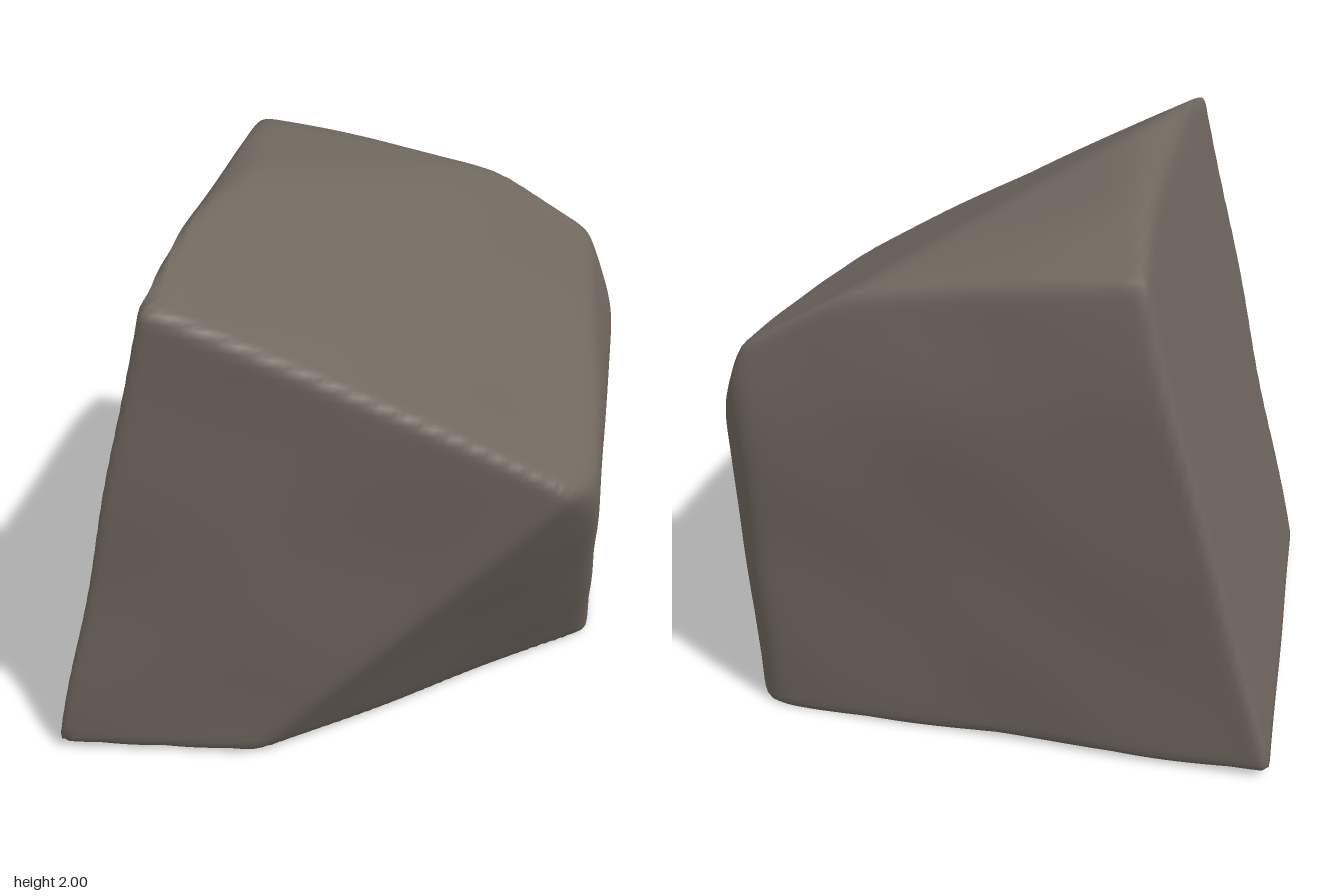
import * as THREE from 'three';
import { mergeVertices } from 'three/addons/utils/BufferGeometryUtils.js';

const V = (a) => new THREE.Vector3(...a);
const CENTER = V([0, 0.95, 0]);

// Broad facets of the boulder, each given by three points lying on it
const FACETS = [
  [[-0.935, 0.2, -0.62], [-0.49, 1.96, -0.6], [-0.92, 0.2, 0.55]],     // left slope
  [[-0.35, 1.77, 0.99], [0.85, 1.23, 0.78], [-0.8, 0.15, 0.81]],       // front
  [[0.85, 1.2, 0.78], [0.93, 1.15, 0.6], [0.85, 0.5, 0.78]],           // front right bevel
  [[0.91, 1.16, 0.68], [-0.2, 0.05, 0.73], [0.9, 0.1, -0.2]],          // undercut front corner
  [[0.93, 1.16, 0.6], [0.905, 0.05, -0.7], [0.915, 1.2, -0.8]],        // right side
  [[0.935, 1.18, 0.6], [0.935, 1.18, -0.6], [0.815, 1.48, -0.6]],      // upper right bevel
  [[-0.3, 1.8, 0.98], [0.85, 1.26, 0.78], [-0.34, 2.02, 0.1]],         // front of top
  [[-0.35, 2.02, 0.1], [-0.45, 1.975, -0.6], [0.28, 1.8, -0.6]],       // back of top
  [[-0.34, 2.02, 0.1], [-0.5, 1.96, 0], [-0.48, 1.96, -0.65]],         // top left bevel
  [[0.28, 1.79, -0.75], [0.81, 1.5, -0.82], [0.91, 1.22, 0.62]],       // right of top
  [[-0.45, 1.96, -0.64], [-0.45, 1.85, -0.97], [0.3, 1.79, -0.8]],     // back top bevel
  [[-0.6, 1.45, -1.0], [-0.48, 1.84, -0.975], [0.8, 1.35, -0.9]],      // upper back
  [[-0.6, 1.45, -1.0], [0.8, 1.3, -0.9], [0, 0.2, -0.8]],              // lower back
  [[0.8, 1.2, -0.9], [0.915, 1.2, -0.78], [0.9, 0.1, -0.67]],          // back right bevel
  [[-0.8, 0.02, 0.7], [0.5, -0.005, -0.35], [-0.8, 0.02, -0.7]],       // underside
].map((pts) => {
  const [a, b, c] = pts.map((p) => V(p).sub(CENTER));
  const n = b.clone().sub(a).cross(c.clone().sub(a)).normalize();
  return n.divideScalar(n.dot(a)); // scaled so that n . p = 1 on the facet
});

// Distance from the center to the softly blended facets
function radius(d, sharpness = 70) {
  let sum = 0;
  for (const n of FACETS) sum += Math.max(0, n.dot(d)) ** sharpness;
  return sum ** (-1 / sharpness);
}

// Gentle worn unevenness
const bump = (p) =>
  0.005 * Math.sin(5.1 * p.x + 2.3 * p.y + 0.6) * Math.sin(4.3 * p.z - 3.1 * p.y + 1.2) +
  0.004 * Math.sin(7.7 * p.y - 4.2 * p.x) * Math.cos(6.3 * p.z + 2.9 * p.x);

function boulderGeometry() {
  let g = new THREE.BoxGeometry(2, 2, 2, 60, 60, 60);
  g.deleteAttribute('uv');
  g.deleteAttribute('normal');
  g = mergeVertices(g, 1e-4);
  const pos = g.attributes.position;
  const p = new THREE.Vector3();
  for (let i = 0; i < pos.count; i++) {
    p.fromBufferAttribute(pos, i).normalize();
    p.multiplyScalar(radius(p));
    p.multiplyScalar(1 + bump(p)).add(CENTER);
    pos.setXYZ(i, p.x, Math.max(0, p.y), p.z);
  }
  g.computeVertexNormals();
  return g;
}

export function createModel() {
  const group = new THREE.Group();
  group.name = 'rock';
  const stone = new THREE.MeshStandardMaterial({ color: 0x70675e });
  stone.name = 'brown grey stone';
  const boulder = new THREE.Mesh(boulderGeometry(), stone);
  boulder.name = 'boulder';
  group.add(boulder);
  return group;
}
